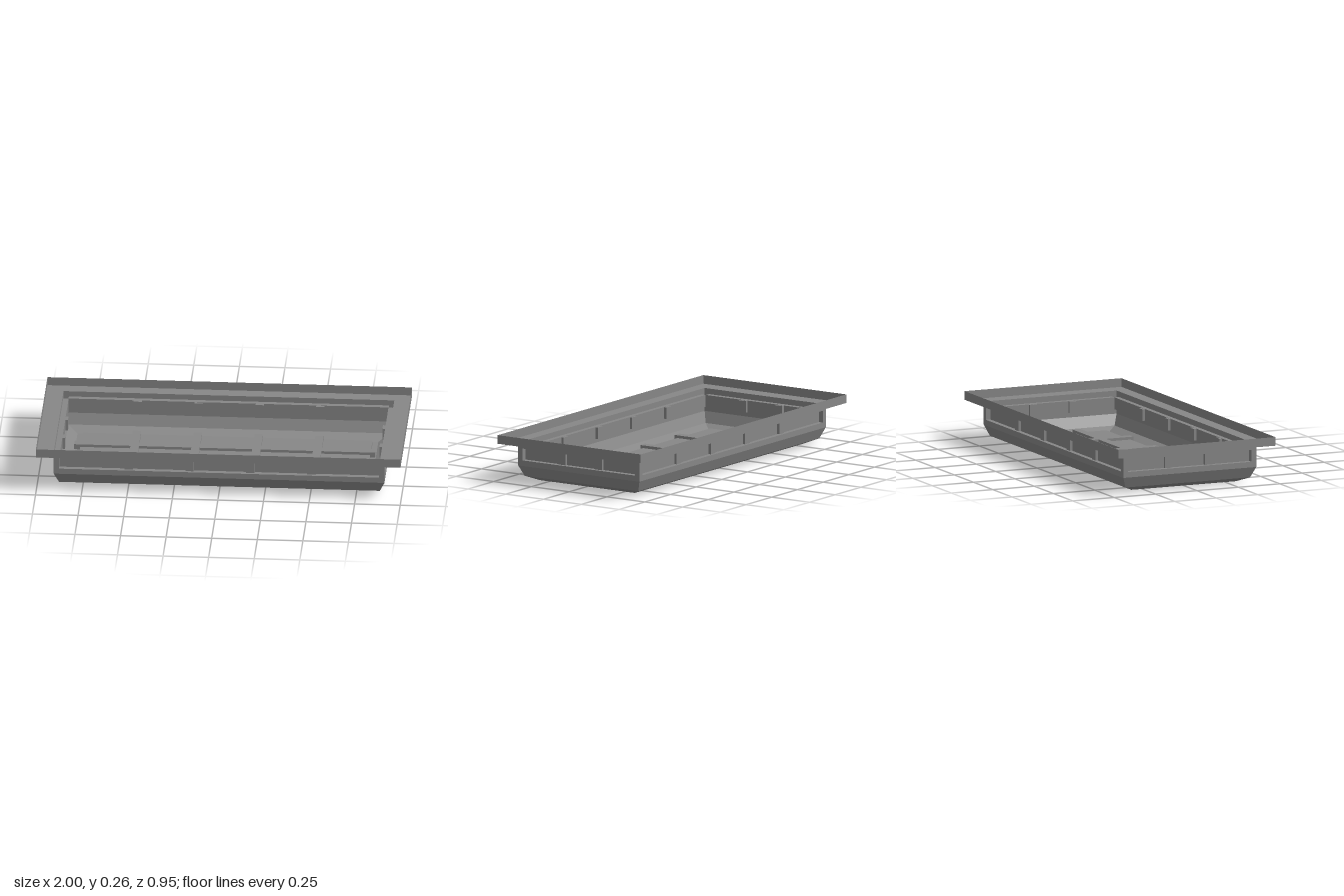
import * as THREE from 'three';

const material = new THREE.MeshStandardMaterial({ color: 0x878787, flatShading: true, side: THREE.DoubleSide });

// Skin through rectangular loops [halfWidth, halfHeight, z], optionally closed by the last one.
function rectLoft(loops, cap) {
  const pos = [];
  const corners = ([w, h, z]) => [[-w, -h, z], [w, -h, z], [w, h, z], [-w, h, z]];
  const quad = (a, b, c, d) => pos.push(...a, ...b, ...c, ...a, ...c, ...d);
  for (let k = 0; k < loops.length - 1; k++) {
    const a = corners(loops[k]), b = corners(loops[k + 1]);
    for (let i = 0; i < 4; i++) {
      const j = (i + 1) % 4;
      quad(a[i], a[j], b[j], b[i]);
    }
  }
  if (cap) quad(...corners(loops[loops.length - 1]));
  const geo = new THREE.BufferGeometry();
  geo.setAttribute('position', new THREE.Float32BufferAttribute(pos, 3));
  geo.computeVertexNormals();
  return geo;
}

function add(parent, name, geo, x = 0, y = 0, z = 0) {
  const mesh = new THREE.Mesh(geo, material);
  mesh.name = name;
  mesh.position.set(x, y, z);
  parent.add(mesh);
}

export function createModel() {
  const tray = new THREE.Group();
  tray.name = 'tray';

  // Rim: thin upright lip around a flat flange
  add(tray, 'rim', rectLoft([[1, 0.473, -0.262], [1, 0.473, -0.214], [0.907, 0.401, -0.214]]).rotateX(Math.PI / 2));

  // Basin: chamfered lower walls and a floor with a raised panel
  add(tray, 'basin', rectLoft([
    [0.907, 0.401, -0.086], [0.88, 0.376, -0.026], [0.825, 0.315, 0],
    [0.795, 0.287, 0], [0.795, 0.287, -0.02],
  ], true).rotateX(Math.PI / 2));

  // Upright walls, each with a long recess crossed by short ribs
  const longRibs = [-0.497, -0.163, 0.171, 0.504];
  const shortRibs = [-0.12, 0.12];
  const walls = [
    ['frontWall', 0, 0.907, 0.401, 0.027, longRibs],
    ['backWall', Math.PI, 0.907, 0.401, 0.027, longRibs.map((x) => -x)],
    ['leftWall', Math.PI / 2, 0.401, 0.907, 0.03, shortRibs],
    ['rightWall', -Math.PI / 2, 0.401, 0.907, 0.03, shortRibs],
  ];
  for (const [name, turn, half, distance, depth, ribs] of walls) {
    const wall = new THREE.Group();
    wall.name = name;
    wall.rotation.y = turn;
    add(wall, 'wallPanel', rectLoft([
      [half, 0.064, 0], [half - 0.029, 0.033, 0], [half - 0.029, 0.033, -depth],
    ], true), 0, 0.15, distance);
    for (const x of ribs) {
      add(wall, 'wallRib', new THREE.BoxGeometry(0.046, 0.064, 0.03), x, 0.15, distance - depth);
    }
    tray.add(wall);
  }

  // Floor ribs crossing in a grid
  for (const x of longRibs) add(tray, 'crossRib', new THREE.BoxGeometry(0.046, 0.03, 0.604), x, 0.02, 0.003);
  for (const z of shortRibs) add(tray, 'lengthRib', new THREE.BoxGeometry(1.65, 0.03, 0.046), -0.003, 0.02, z - 0.003);

  return tray;
}
